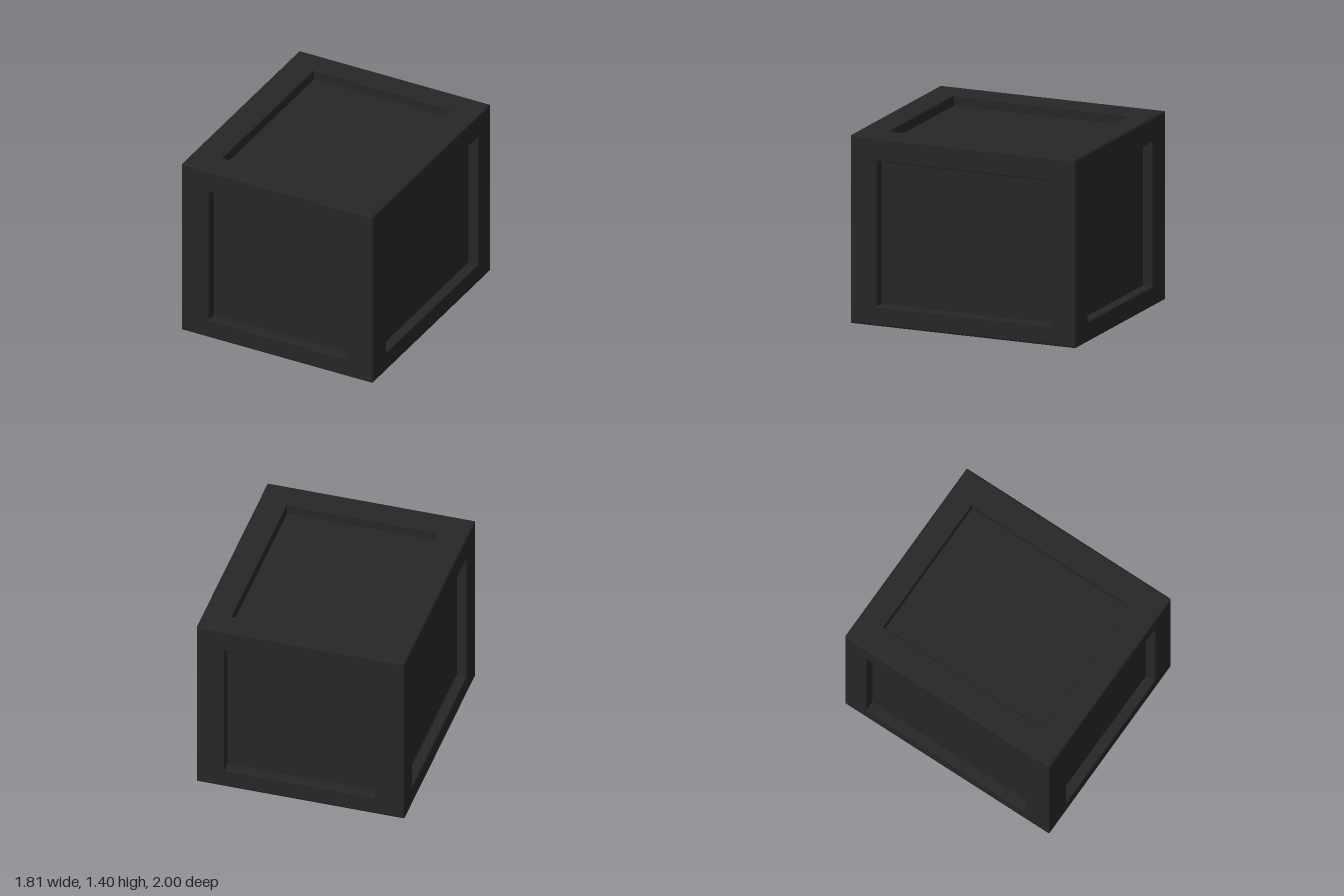
import * as THREE from 'three';

const OUTER = { min: [-0.784, 0, -0.8925], max: [0.784, 1.405, 0.8925] };
const RECESS = { min: [-0.56, 0.15, -0.702], max: [0.572, 1.225, 0.682] };
const DEPTH = 0.077, EDGE = 0.014, RIM = 0.01;

// One side of the crate: concentric rectangles from the outer edge to the recess floor
function sidePanel(axis, sign) {
  const u = (axis + 1) % 3, v = (axis + 2) % 3;
  const rings = [
    [OUTER, 0.3 * EDGE, 0.3 * EDGE],
    [OUTER, EDGE, 0],
    [RECESS, -RIM, 0],
    [RECESS, -0.3 * RIM, 0.3 * RIM],
    [RECESS, 0, RIM],
    [RECESS, 0, DEPTH],
  ].map(([box, inset, depth]) => [[0, 0], [1, 0], [1, 1], [0, 1]].map(([a, b]) => {
    const p = [0, 0, 0];
    p[u] = a ? box.max[u] - inset : box.min[u] + inset;
    p[v] = b ? box.max[v] - inset : box.min[v] + inset;
    p[axis] = sign > 0 ? OUTER.max[axis] - depth : OUTER.min[axis] + depth;
    return p;
  }));

  const pos = [];
  const quad = (a, b, c, d) => {
    const order = sign > 0 ? [a, b, c, a, c, d] : [a, c, b, a, d, c];
    order.forEach((p) => pos.push(...p));
  };
  for (let r = 0; r < rings.length - 1; r++) {
    for (let i = 0; i < 4; i++) {
      const j = (i + 1) % 4;
      quad(rings[r][i], rings[r][j], rings[r + 1][j], rings[r + 1][i]);
    }
  }
  quad(...rings[rings.length - 1]); // recess floor

  const geo = new THREE.BufferGeometry();
  geo.setAttribute('position', new THREE.Float32BufferAttribute(pos, 3));
  geo.computeVertexNormals();
  return geo;
}

export function createModel() {
  const group = new THREE.Group();
  group.name = 'crate';
  const material = new THREE.MeshStandardMaterial({ color: 0x262626 });

  const names = [['rightSide', 'leftSide'], ['bottom', 'top'], ['back', 'front']];
  for (let axis = 0; axis < 3; axis++) {
    [-1, 1].forEach((sign, k) => {
      const mesh = new THREE.Mesh(sidePanel(axis, sign), material);
      mesh.name = names[axis][k];
      group.add(mesh);
    });
  }

  // The crate stands slightly turned
  group.rotation.y = -0.15;
  return group;
}
